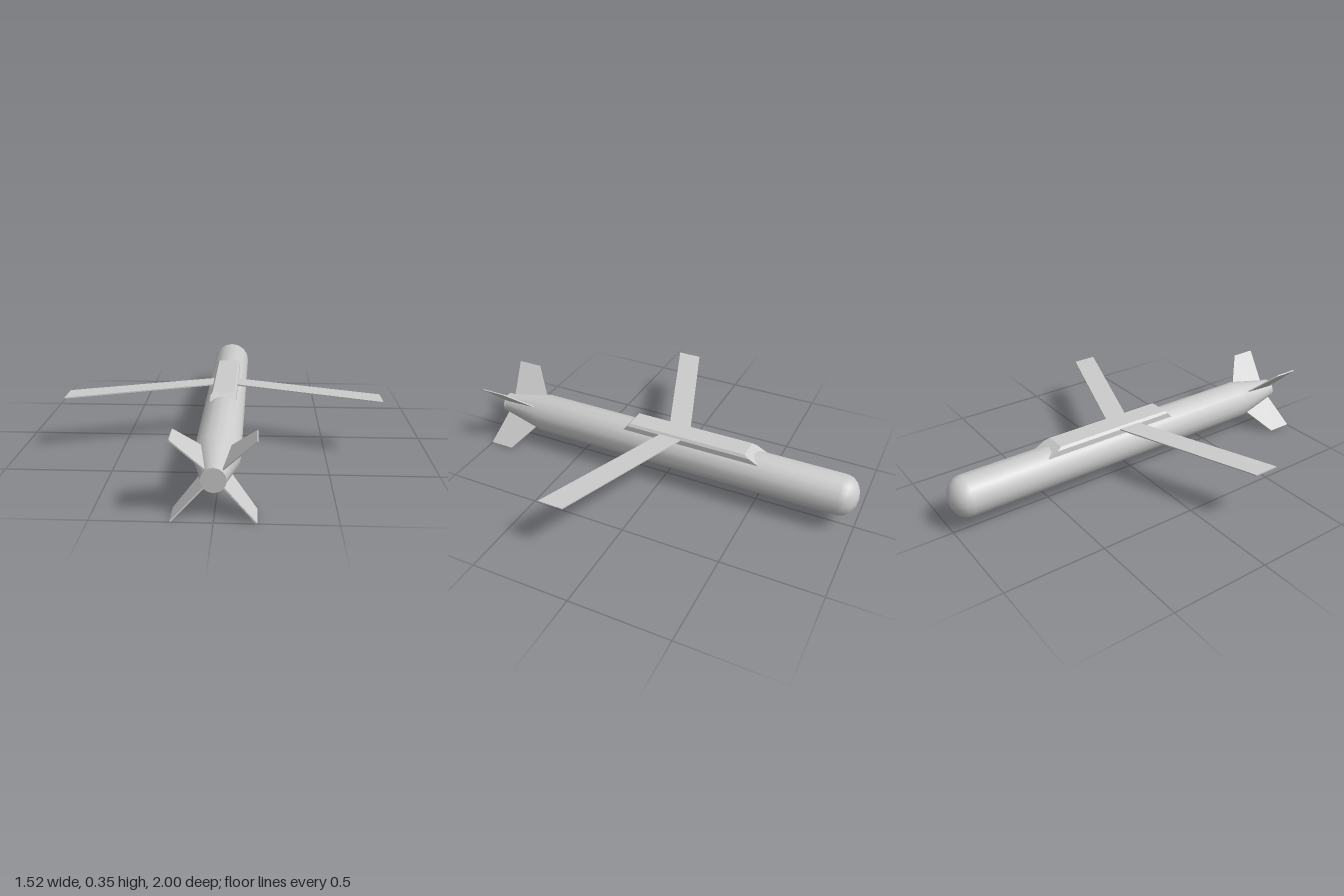
import * as THREE from 'three';
import { toCreasedNormals } from 'three/addons/utils/BufferGeometryUtils.js';

const AXIS_Y = 0.18; // height of the body's centreline
const RADIUS = 0.102;

// Thin flat plate: outline given in (x, z), thickness centred on y = 0
function plate(points, thickness) {
  const shape = new THREE.Shape(points.map(([x, z]) => new THREE.Vector2(x, z)));
  const geo = new THREE.ExtrudeGeometry(shape, { depth: thickness, bevelEnabled: false });
  return geo.translate(0, 0, -thickness / 2).rotateX(Math.PI / 2);
}

export function createModel() {
  const model = new THREE.Group();
  model.name = 'wingedMunition';
  const material = new THREE.MeshStandardMaterial({ color: 0xcccccc });
  const add = (name, geometry) => {
    const mesh = new THREE.Mesh(geometry, material);
    mesh.name = name;
    model.add(mesh);
    return mesh;
  };

  // Body: domed end, straight tube, tapered tail with a flat end
  const profile = [];
  for (let i = 0; i <= 4; i++) {
    const a = (i / 4) * Math.PI / 2;
    profile.push(new THREE.Vector2(RADIUS * Math.sin(a), -0.92 - 0.08 * Math.cos(a)));
  }
  for (const [r, z] of [[RADIUS, 0.73], [0.053, 0.96], [0.053, 0.982], [0, 0.982]]) {
    profile.push(new THREE.Vector2(r, z));
  }
  const body = new THREE.LatheGeometry(profile, 16).rotateX(Math.PI / 2);
  add('body', toCreasedNormals(body, 0.6)).position.y = AXIS_Y;

  // Fairing along the top, with chamfered edges and sloping ends
  const half = [[0.063, 0.257], [0.063, 0.285], [0.053, 0.298]];
  const section = [...half, ...half.map(([x, y]) => [-x, y]).reverse()];
  const fairing = new THREE.ExtrudeGeometry(
    new THREE.Shape(section.map(([x, y]) => new THREE.Vector2(x, y))),
    { depth: 1, bevelEnabled: false });
  const pos = fairing.attributes.position;
  for (let i = 0; i < pos.count; i++) {
    const rise = (pos.getY(i) - 0.257) / 0.041;
    pos.setZ(i, pos.getZ(i) > 0.5 ? 0.22 - 0.035 * rise : -0.52 + 0.08 * rise);
  }
  fairing.computeVertexNormals();
  add('topFairing', fairing);

  // Swept wings, meeting inside the fairing
  for (const [name, s] of [['leftWing', 1], ['rightWing', -1]]) {
    const outline = [[0, -0.127], [0.762 * s, 0.15], [0.762 * s, 0.275], [0, -0.012]];
    add(name, plate(outline, 0.006)).position.y = 0.285;
  }

  // Four tail fins in an X
  const finOutline = [[0.04, 0.733], [0.09, 0.767], [0.243, 0.872], [0.243, 1], [0.06, 0.963], [0.04, 0.959]];
  for (let i = 0; i < 4; i++) {
    const fin = add('tailFin' + (i + 1), plate(finOutline, 0.006));
    fin.position.y = AXIS_Y;
    fin.rotation.z = Math.PI / 4 + i * Math.PI / 2;
  }
  return model;
}
